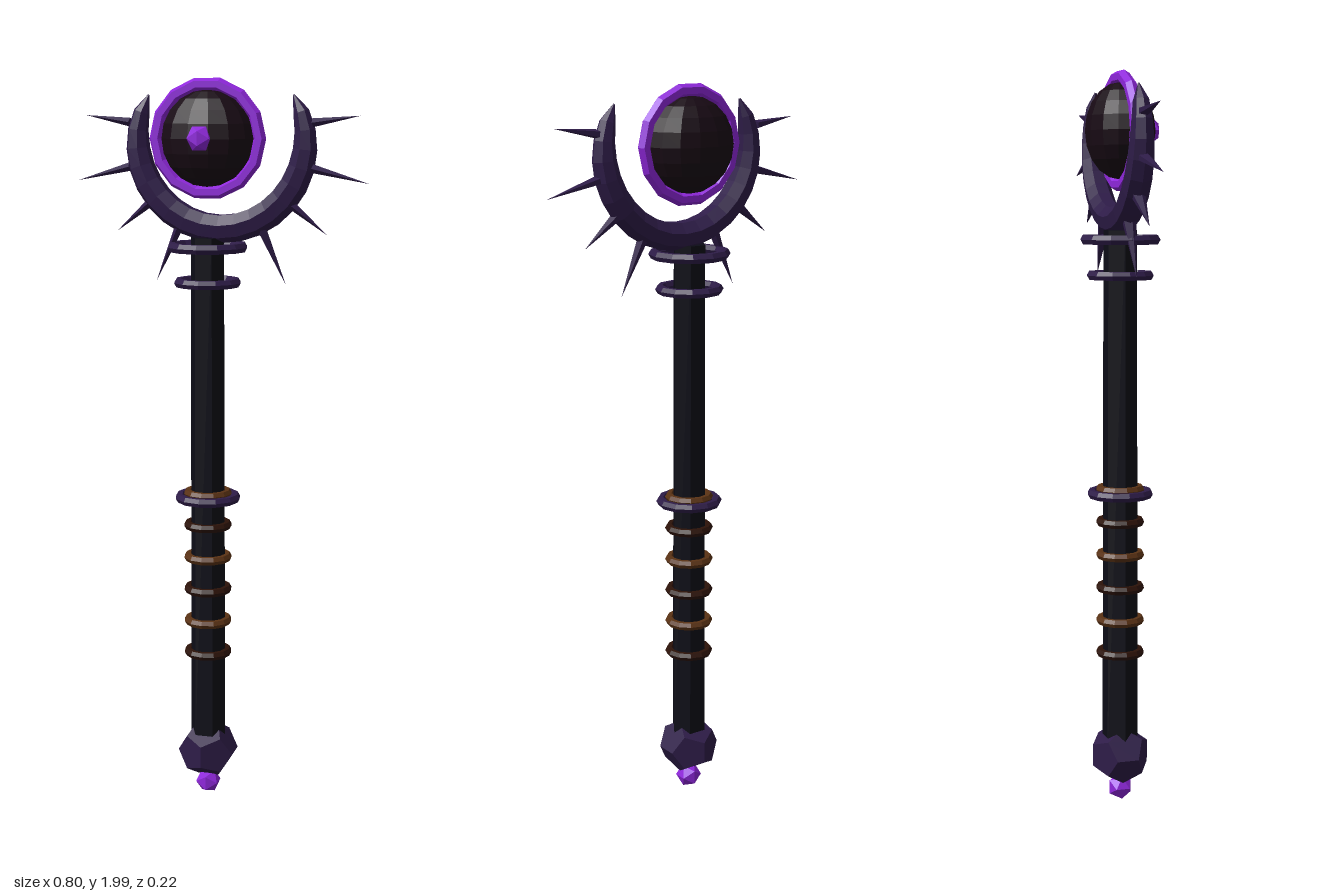
import * as THREE from 'three';

const mat = (color) => new THREE.MeshStandardMaterial({ color, flatShading: true });
const AXIS = -0.036; // x of the shaft and orb

export function createModel() {
  const root = new THREE.Group();
  const black = mat(0x0c0c16), violet = mat(0x2e1c48), glow = mat(0x8f27dc);
  const orbDark = mat(0x180a14), bronze = mat(0x5a3214), brown = mat(0x2c1208);

  const add = (name, geometry, material, x, y, z = 0) => {
    const mesh = new THREE.Mesh(geometry, material);
    mesh.name = name;
    mesh.position.set(x, y, z);
    root.add(mesh);
    return mesh;
  };

  // Six-sided shaft
  const shaft = add('shaft', new THREE.CylinderGeometry(0.046, 0.05, 1.42, 6), black, AXIS, 0.87);
  shaft.rotation.y = Math.PI / 6;

  // Horizontal rings: [name, height, outer radius, tube, material]
  const rings = [
    ['upperCollar', 1.555, 0.11, 0.014, violet],
    ['lowerCollar', 1.46, 0.092, 0.013, violet],
    ['gripCollar', 0.868, 0.091, 0.013, violet],
    ['gripBand', 0.88, 0.067, 0.012, bronze],
  ];
  for (let i = 0; i < 5; i++) {
    rings.push(['gripBand', 0.79 - i * 0.0915, 0.067, 0.012, i % 2 ? bronze : brown]);
  }
  for (const [name, y, outer, tube, material] of rings) {
    add(name, new THREE.TorusGeometry(outer - tube, tube, 6, 12), material, AXIS, y).rotation.x = Math.PI / 2;
  }

  // Pommel with a small gem beneath
  add('pommel', new THREE.DodecahedronGeometry(0.084), violet, AXIS, 0.133);
  add('pommelGem', new THREE.IcosahedronGeometry(0.036), glow, AXIS, 0.036);

  // Crescent: an arc whose tube tapers to both tips
  const R = 0.23, tube = 0.039, cy = 1.835;
  const start = THREE.MathUtils.degToRad(-211), arc = THREE.MathUtils.degToRad(242);
  const crescentGeo = new THREE.TorusGeometry(R, tube, 7, 20, arc);
  const p = crescentGeo.attributes.position;
  for (let i = 0; i < p.count; i++) {
    const a = Math.atan2(p.getY(i), p.getX(i));
    const t = (a < -1e-4 ? a + 2 * Math.PI : a) / arc;
    const d = Math.abs(2 * t - 1);
    const k = d > 0.99 ? 0.06 : 1 - 0.68 * d ** 4;
    const r = R + (Math.hypot(p.getX(i), p.getY(i)) - R) * k;
    p.setXYZ(i, r * Math.cos(a), r * Math.sin(a), p.getZ(i) * k);
  }
  crescentGeo.computeVertexNormals();
  add('crescent', crescentGeo, violet, 0, cy).rotation.z = start;

  // Spikes, mirrored: base x, y, tip x, y
  const spikes = [
    [0.25, 1.882, 0.375, 1.9],
    [0.25, 1.765, 0.4, 1.727],
    [0.195, 1.67, 0.29, 1.593],
    [0.115, 1.605, 0.18, 1.46],
  ];
  for (const side of [-1, 1]) {
    for (const [bx, by, tx, ty] of spikes) {
      const dir = new THREE.Vector3(side * (tx - bx), ty - by, 0);
      const length = dir.length();
      const geo = new THREE.ConeGeometry(1, length, 5);
      geo.scale(0.012, 1, 0.02);
      const spike = add('spike', geo, violet, side * (bx + tx) / 2, (by + ty) / 2);
      spike.rotation.z = Math.atan2(dir.y, dir.x) - Math.PI / 2;
    }
  }

  // Flattened orb, bright rim and pupil
  const orb = add('orb', new THREE.SphereGeometry(0.127, 14, 10), orbDark, AXIS, 1.84);
  orb.scale.z = 0.72;
  add('orbRim', new THREE.TorusGeometry(0.143, 0.0175, 6, 14), glow, AXIS, 1.84);
  const pupil = add('pupil', new THREE.IcosahedronGeometry(0.036), glow, AXIS + 0.003, 1.842, 0.086);
  pupil.scale.z = 0.7;

  return root;
}
